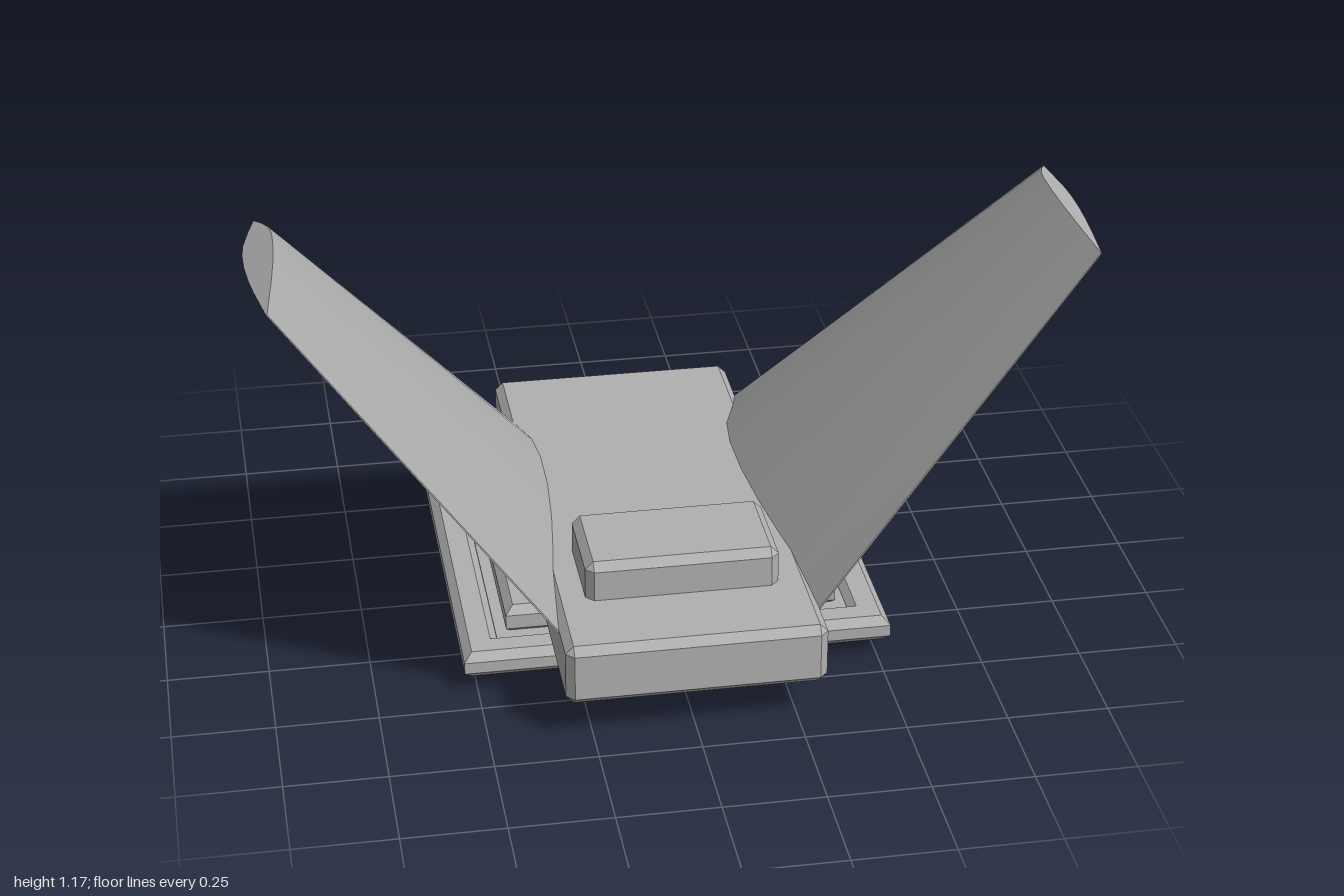
import * as THREE from 'three';
import { toCreasedNormals } from 'three/addons/utils/BufferGeometryUtils.js';
import { ConvexGeometry } from 'three/addons/geometries/ConvexGeometry.js';

const BASE_Z = -0.105; // the base sits slightly behind the body centre

// Box with every edge chamfered, as the hull of 24 points
function chamferBox(w, h, d, b) {
  const pts = [];
  for (const sx of [-1, 1]) for (const sy of [-1, 1]) for (const sz of [-1, 1]) {
    const [x, y, z] = [w / 2, h / 2, d / 2];
    pts.push(
      new THREE.Vector3(sx * x, sy * (y - b), sz * (z - b)),
      new THREE.Vector3(sx * (x - b), sy * y, sz * (z - b)),
      new THREE.Vector3(sx * (x - b), sy * (y - b), sz * z));
  }
  return new ConvexGeometry(pts);
}

function square(path, r) {
  path.moveTo(-r, -r);
  path.lineTo(r, -r);
  path.lineTo(r, r);
  path.lineTo(-r, r);
  path.closePath();
  return path;
}

// Flat square plate lying on y0..y1, chamfered edges, optional square opening
function plate(half, y0, y1, bevel, opening = 0) {
  const shape = square(new THREE.Shape(), half - bevel);
  if (opening) shape.holes.push(square(new THREE.Path(), opening + bevel));
  const geo = new THREE.ExtrudeGeometry(shape, {
    depth: y1 - y0 - 2 * bevel, bevelEnabled: bevel > 0,
    bevelSize: bevel, bevelThickness: bevel, bevelSegments: 1,
  });
  geo.translate(0, 0, bevel);
  geo.rotateX(-Math.PI / 2);
  geo.translate(0, y0, BASE_Z);
  return geo;
}

// Tapered, tilted fin lofted between a root and a tip aerofoil section
function finGeometry(side) {
  const profile = [[0, 0], [0.08, 0.45], [0.18, 0.88], [0.27, 1], [0.4, 0.98],
    [0.55, 0.83], [0.7, 0.6], [0.85, 0.32], [1, 0.03]]; // chord fraction, thickness
  const loop = [...profile, ...profile.slice(1).reverse().map(([c, t]) => [c, -t])];
  const n = loop.length;
  const sections = [
    { x: 0.3, y: 0.215, z0: -0.555, z1: 0.565, t: 0.069 },
    { x: 0.963, y: 1.141, z0: 0.062, z1: 0.563, t: 0.044 },
  ];
  const tilt = Math.atan2(sections[1].y - sections[0].y, sections[1].x - sections[0].x);
  const pos = [], index = [];
  for (const s of sections) for (const [c, t] of loop) {
    pos.push(side * (s.x - Math.sin(tilt) * t * s.t),
      s.y + Math.cos(tilt) * t * s.t,
      s.z0 + (s.z1 - s.z0) * c);
  }
  const tri = (a, b, c) => (side > 0 ? index.push(a, b, c) : index.push(a, c, b));
  for (let i = 0; i < n; i++) {
    const j = (i + 1) % n;
    tri(i, j, n + j);
    tri(i, n + j, n + i);
  }
  // End caps: strips between the upper and lower sides
  for (let i = 0; i < profile.length - 1; i++) {
    const a = i, b = i + 1, c = (n - i - 1) % n, d = (n - i) % n;
    tri(a, c, b);
    tri(n + a, n + b, n + c);
    if (i > 0) {
      tri(a, d, c);
      tri(n + a, n + c, n + d);
    }
  }
  const geo = new THREE.BufferGeometry();
  geo.setAttribute('position', new THREE.Float32BufferAttribute(pos, 3));
  geo.setIndex(index);
  return toCreasedNormals(geo, 0.5);
}

export function createModel() {
  const model = new THREE.Group();
  model.name = 'finnedUnit';
  const grey = new THREE.MeshStandardMaterial({ color: 0xb0b0b0 });
  grey.name = 'grey';

  const add = (name, geo, x = 0, y = 0, z = 0) => {
    const mesh = new THREE.Mesh(geo, grey);
    mesh.name = name;
    mesh.position.set(x, y, z);
    model.add(mesh);
    return mesh;
  };

  // Base: outer frame, panel set into it and raised step
  add('baseFrame', plate(0.532, 0.035, 0.105, 0.02, 0.44));
  add('basePanel', plate(0.441, 0.03, 0.09, 0));
  add('baseStep', plate(0.415, 0.08, 0.157, 0.02));

  // Hexagonal feet
  for (const sx of [-1, 1]) for (const sz of [-1, 1]) {
    const foot = new THREE.CylinderGeometry(0.043, 0.043, 0.04, 6).toNonIndexed();
    foot.rotateY(Math.PI / 2);
    foot.computeVertexNormals();
    add('foot', foot, sx * 0.32, 0.02, BASE_Z + sz * 0.32);
  }

  // Main body and the block on top of its front
  add('body', chamferBox(0.634, 0.158, 1.38, 0.02), 0, 0.185, 0);
  add('topBlock', chamferBox(0.475, 0.12, 0.262, 0.02), 0, 0.302, 0.346);

  // Pair of outward leaning fins
  add('leftFin', finGeometry(1));
  add('rightFin', finGeometry(-1));

  return model;
}
